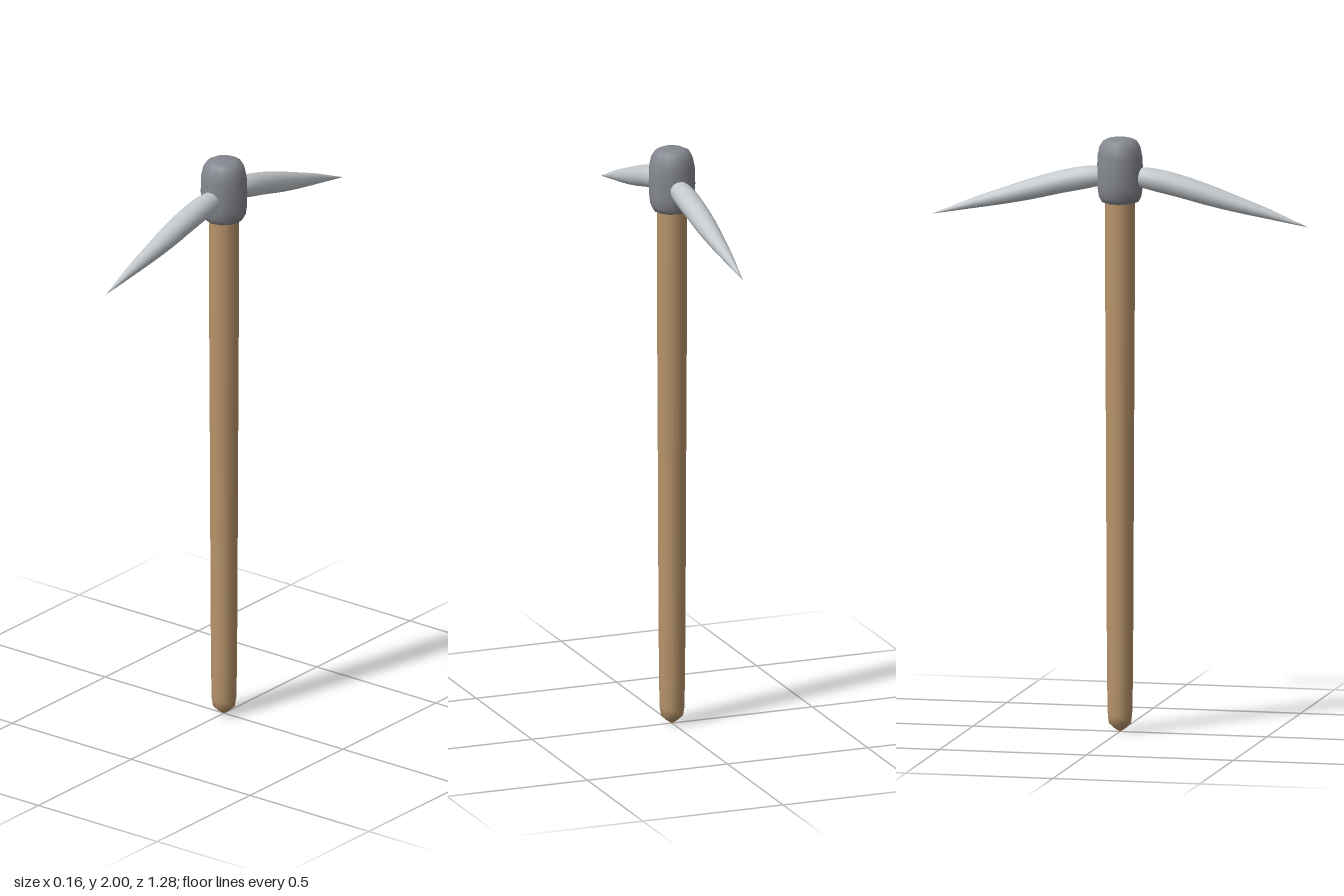
import * as THREE from 'three';
import { mergeVertices } from 'three/addons/utils/BufferGeometryUtils.js';

const material = (color) => new THREE.MeshStandardMaterial({ color });

// Smooth turned part from [radius, height] pairs, bottom to top
function turned(name, profile, sides, mat) {
  const points = profile.map(([r, y]) => new THREE.Vector2(r, y));
  const mesh = new THREE.Mesh(new THREE.LatheGeometry(points, sides), mat);
  mesh.name = name;
  return mesh;
}

// Drooping round spike along +z
function spikeGeometry() {
  // radius, z, centre height
  const stations = [
    [0.026, 0.03, 1.871], [0.035, 0.08, 1.868], [0.039, 0.13, 1.86],
    [0.039, 0.2, 1.845], [0.036, 0.3, 1.818], [0.028, 0.4, 1.79],
    [0.018, 0.5, 1.763], [0, 0.64, 1.721],
  ].map((s) => new THREE.Vector3(...s));
  const rows = new THREE.CatmullRomCurve3(stations).getPoints(21);
  const geo = new THREE.LatheGeometry(rows.map((p) => new THREE.Vector2(Math.max(p.x, 0), p.y)), 16);
  geo.rotateX(Math.PI / 2);
  // Bend: lift every ring to its centre height
  const pos = geo.attributes.position;
  for (let i = 0; i < pos.count; i++) pos.setY(i, pos.getY(i) + rows[i % rows.length].z);
  geo.deleteAttribute('uv');
  geo.deleteAttribute('normal');
  const merged = mergeVertices(geo, 1e-5);
  merged.computeVertexNormals();
  return merged;
}

export function createModel() {
  const model = new THREE.Group();
  model.name = 'pickaxe';
  const wood = material(0xb8946a);
  const iron = material(0x85888f);
  const steel = material(0xc3c8cc);

  // Handle with a blunt pointed foot
  model.add(turned('handle', [
    [0, 0.005], [0.02, 0.018], [0.037, 0.034], [0.041, 0.06], [0.043, 0.15],
    [0.045, 0.4], [0.047, 0.9], [0.05, 1.5], [0.05, 1.85],
  ], 16, wood));

  // Rounded iron block holding the spikes
  model.add(turned('headSocket', [
    [0, 1.777], [0.045, 1.78], [0.062, 1.786], [0.073, 1.805], [0.077, 1.835],
    [0.078, 1.88], [0.077, 1.935], [0.07, 1.968], [0.058, 1.988], [0.04, 1.997], [0, 2],
  ], 12, iron));

  // Front and back spikes
  const geometry = spikeGeometry();
  ['frontSpike', 'backSpike'].forEach((name, i) => {
    const spike = new THREE.Mesh(geometry, steel);
    spike.name = name;
    spike.rotation.y = i * Math.PI;
    model.add(spike);
  });
  return model;
}
